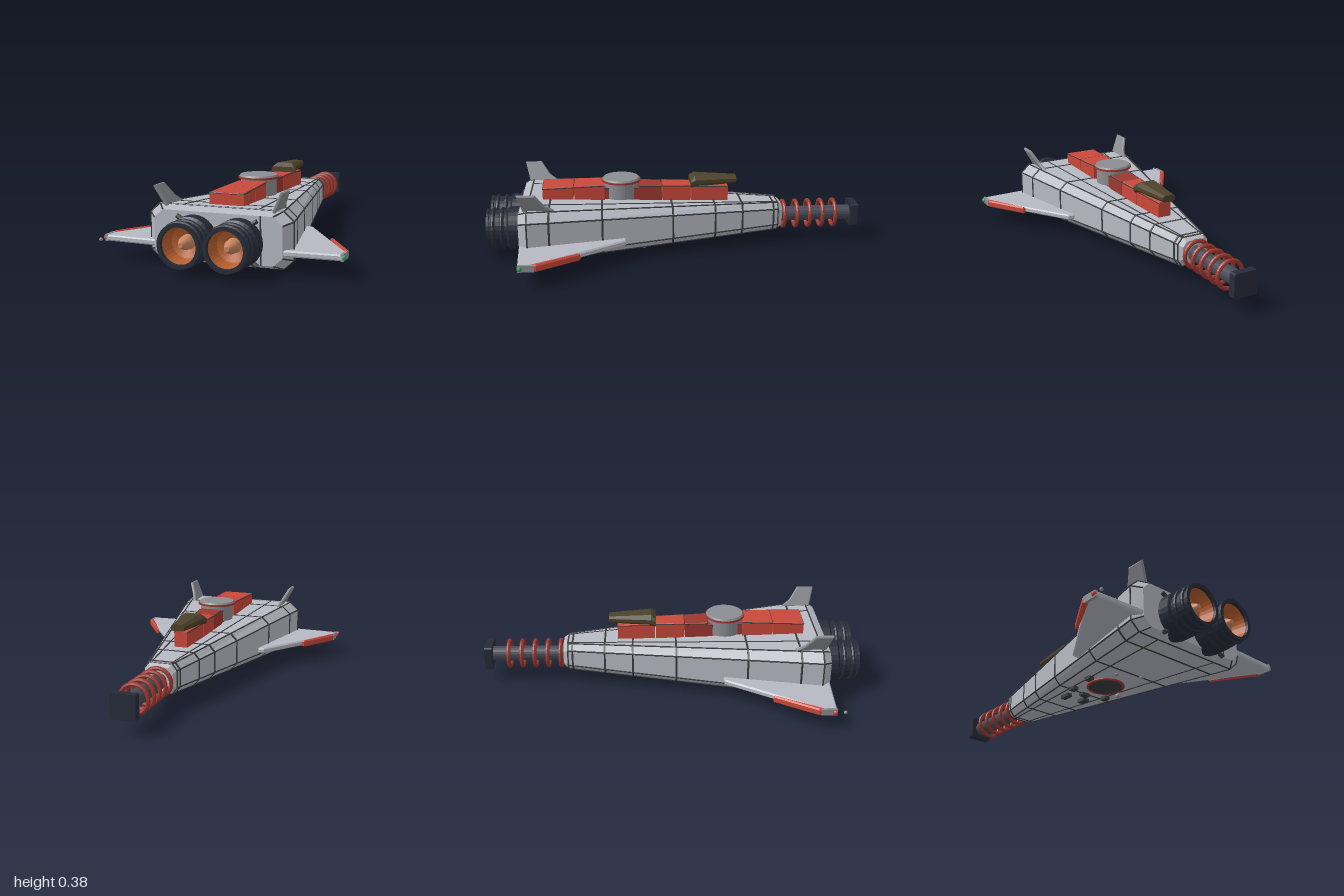
import * as THREE from 'three';

const mat = (color) => new THREE.MeshStandardMaterial({ color, flatShading: true, side: THREE.DoubleSide });
const M = {
  hull: mat(0xb6b9c2), grey: mat(0x8b8d92), seam: mat(0x3a3b3d), red: mat(0xc9483a), darkRed: mat(0x9c382f),
  navy: mat(0x262b38), steel: mat(0x454a56), orange: mat(0xb8602e), plug: mat(0xc98560),
  canopy: mat(0x4c422a), green: mat(0x2f9a50), light: mat(0xcc4444),
};
const HY = 0.14; // axis height of engines and nose probe

export function createModel() {
  const root = new THREE.Group();

  function add(name, geo, material, x = 0, y = 0, z = 0, parent = root) {
    const m = new THREE.Mesh(geo, material);
    m.name = name;
    m.position.set(x, y, z);
    parent.add(m);
    return m;
  }
  function group(name) {
    const g = new THREE.Group();
    g.name = name;
    root.add(g);
    return g;
  }
  // Skin over cross-sections ordered from back (+z) to nose (-z)
  function loft(sections) {
    const pos = [];
    const n = sections[0].length;
    const tri = (a, b, c) => pos.push(...a, ...b, ...c);
    for (let k = 0; k < sections.length - 1; k++) {
      const A = sections[k], B = sections[k + 1];
      for (let i = 0; i < n; i++) {
        const j = (i + 1) % n;
        tri(A[i], B[i], B[j]);
        tri(A[i], B[j], A[j]);
      }
    }
    const F = sections[0], L = sections[sections.length - 1];
    for (let i = 1; i < n - 1; i++) {
      tri(F[0], F[i], F[i + 1]);
      tri(L[0], L[i + 1], L[i]);
    }
    const g = new THREE.BufferGeometry();
    g.setAttribute('position', new THREE.Float32BufferAttribute(pos, 3));
    g.computeVertexNormals();
    return g;
  }
  // Chamfered rectangle; cx and cy cut its corners
  const oct = (w, y0, y1, cx, cy, z) => [
    [w, y0 + cy, z], [w, y1 - cy, z], [w - cx, y1, z], [cx - w, y1, z],
    [-w, y1 - cy, z], [-w, y0 + cy, z], [cx - w, y0, z], [w - cx, y0, z]];
  // Thin dark strip between two points
  function strip(a, b, parent, r = 0.004) {
    const p = new THREE.Vector3(...a), q = new THREE.Vector3(...b);
    const m = add('panelLine', new THREE.CylinderGeometry(r, r, p.distanceTo(q), 6), M.seam, 0, 0, 0, parent);
    m.position.copy(p).lerp(q, 0.5);
    m.quaternion.setFromUnitVectors(new THREE.Vector3(0, 1, 0), q.sub(p).normalize());
  }

  // Hull: tapering octagonal body, bevelled at both ends
  const mix = (a, b, t) => a + (b - a) * t;
  const hullAt = (z, grow = 0) => {
    const t = (0.78 - z) / 1.33;
    return oct(mix(0.36, 0.085, t) + grow, mix(0.02, 0.075, t) - grow, mix(0.288, 0.225, t) + grow,
      mix(0.05, 0.025, t), mix(0.045, 0.032, t), z);
  };
  const tail = oct(0.32, 0.04, 0.268, 0.045, 0.04, 0.825);
  const back = hullAt(0.78), front = hullAt(-0.55);
  add('hull', loft([tail, back, front, oct(0.07, 0.09, 0.21, 0.022, 0.028, -0.575)]), M.hull);

  // Panel seams around and along the hull
  const seams = group('hullSeams');
  for (const z of [0.67, 0.4, 0.03, -0.2, -0.35, -0.525])
    add('ringSeam', loft([hullAt(z + 0.005, 0.002), hullAt(z - 0.005, 0.002)]), M.seam, 0, 0, 0, seams);
  for (let i = 0; i < 8; i++) {
    const j = (i + 1) % 8;
    strip(back[i], front[i], seams);
    strip(back[i], back[j], seams);
    strip(tail[i], back[i], seams);
    strip(front[i], front[j], seams);
  }
  for (const s of [-1, 1]) {
    strip([s * 0.19, 0.288, 0.78], [s * 0.05, 0.225, -0.55], seams);
    strip([s * 0.19, 0.02, 0.78], [s * 0.04, 0.075, -0.55], seams);
  }
  strip([0.215, 0.04, 0.825], [0.215, 0.268, 0.825], seams);

  // Raised spine along the top: [back z, front z, half widths, top heights]
  const spine = group('spine');
  const blocks = [
    [0.71, 0.55, 0.088, 0.082, 0.343, 0.347, M.red], [0.545, 0.385, 0.082, 0.075, 0.347, 0.35, M.red],
    [0.385, 0.2, 0.06, 0.06, 0.33, 0.33, M.darkRed], [0.2, 0.08, 0.064, 0.058, 0.34, 0.335, M.darkRed],
    [0.075, -0.075, 0.058, 0.052, 0.337, 0.332, M.red], [-0.08, -0.28, 0.05, 0.035, 0.328, 0.318, M.red]];
  for (const [z0, z1, w0, w1, t0, t1, m] of blocks) {
    add('spineBlock', loft([oct(w0, 0.22, t0, 0.006, 0.006, z0), oct(w1, 0.22, t1, 0.006, 0.006, z1)]), m, 0, 0, 0, spine);
    for (const s of [-1, 1]) strip([s * w0, t0 - 0.004, z0], [s * w1, t1 - 0.004, z1], spine, 0.003);
    strip([-w0, t0 - 0.003, z0], [w0, t0 - 0.003, z0], spine, 0.003);
  }

  // Round turret on the spine
  const turret = group('turret');
  add('turretBase', new THREE.CylinderGeometry(0.09, 0.09, 0.09, 32), M.grey, 0, 0.315, 0.295, turret);
  add('turretRim', new THREE.CylinderGeometry(0.104, 0.104, 0.01, 32), M.darkRed, 0, 0.36, 0.295, turret);
  add('turretLid', new THREE.CylinderGeometry(0.094, 0.1, 0.01, 32), M.grey, 0, 0.369, 0.295, turret);

  // Cockpit canopy
  add('canopy', loft([oct(0.07, 0.32, 0.36, 0.01, 0.01, -0.075), oct(0.065, 0.32, 0.38, 0.025, 0.02, -0.1),
    oct(0.036, 0.332, 0.367, 0.01, 0.01, -0.325)]), M.canopy);

  // Nose probe with coil rings and square tip
  const probe = group('noseProbe');
  add('probeShaft', new THREE.CylinderGeometry(0.04, 0.04, 0.42, 20).rotateX(Math.PI / 2), M.steel, 0, HY, -0.765, probe);
  for (let i = 0; i < 5; i++)
    add('coilRing', new THREE.TorusGeometry(0.07, 0.011, 8, 28), M.darkRed, 0, HY, -0.592 - i * 0.07, probe);
  add('probeTip', loft([oct(0.064, 0.078, 0.202, 0.006, 0.006, -0.96), oct(0.064, 0.078, 0.202, 0.006, 0.006, -1)]), M.navy, 0, 0, 0, probe);

  // Twin engines
  const lathe = (pts) => new THREE.LatheGeometry(pts.map((p) => new THREE.Vector2(...p)), 28).rotateX(Math.PI / 2);
  for (const s of [-1, 1]) {
    const e = group(s > 0 ? 'leftEngine' : 'rightEngine');
    e.position.set(s * 0.113, HY, 0);
    add('engineCasing', lathe([[0, 0.79], [0.114, 0.79], [0.114, 0.885], [0.1, 0.895], [0.1, 0.985],
      [0.106, 0.988], [0.106, 1], [0.088, 1], [0.084, 0.95]]), M.navy, 0, 0, 0, e);
    for (const z of [0.92, 0.965])
      add('engineRing', new THREE.TorusGeometry(0.102, 0.01, 8, 28), M.navy, 0, 0, z, e);
    add('nozzle', lathe([[0.086, 0.985], [0.075, 0.91], [0.03, 0.89]]), M.orange, 0, 0, 0, e);
    add('nozzleCone', lathe([[0.036, 0.89], [0.032, 0.93], [0.012, 0.975], [0, 0.975]]), M.plug, 0, 0, 0, e);
    // Struts bracing the engine against the tail plate
    for (const t of [-1, 1])
      strip([s * 0.2, HY + t * 0.105, 0.83], [s * 0.13, HY + t * 0.06, 0.83], root, 0.012);
  }

  // Wings, wing edges, tip lights and tail fins
  const slab = (pts, depth, bevel) => new THREE.ExtrudeGeometry(new THREE.Shape(pts.map((p) => new THREE.Vector2(...p))),
    { depth: depth - 2 * bevel, bevelEnabled: true, bevelSize: bevel, bevelThickness: bevel, bevelOffset: -bevel, bevelSegments: 1 })
    .translate(0, 0, bevel - depth / 2);
  for (const s of [-1, 1]) {
    const side = s > 0 ? 'left' : 'right';
    const flat = (pts, d) => slab(pts.map(([x, z]) => [s * x, z]), d, 0.007).rotateX(Math.PI / 2);
    add(side + 'Wing', flat([[0.2, 0.27], [0.29, 0.28], [0.59, 0.74], [0.6, 0.81], [0.3, 0.825], [0.2, 0.8]], 0.03), M.hull, 0, 0.103, 0);
    add(side + 'WingEdge', flat([[0.452, 0.515], [0.467, 0.512], [0.598, 0.72], [0.596, 0.745], [0.58, 0.745]], 0.038), M.red, 0, 0.103, 0);
    add(side + 'WingTip', new THREE.BoxGeometry(0.014, 0.034, 0.08), M.grey, s * 0.592, 0.103, 0.77);
    add(side + 'TipLight', new THREE.SphereGeometry(0.013, 12, 8), s > 0 ? M.green : M.light, s * 0.598, 0.103, 0.8);
    const fin = slab([[0.64, 0], [0.8, 0], [0.825, 0.112], [0.735, 0.112], [0.69, 0.04]], 0.018, 0.005)
      .rotateY(-Math.PI / 2).rotateZ(-s * 0.47);
    add(side + 'TailFin', fin, M.grey, s * 0.267, 0.28, 0);
  }
  add('tailBead', new THREE.SphereGeometry(0.009, 10, 8), M.grey, -0.598, 0.103, 0.85);

  // Belly hatch and small underside fittings
  const belly = group('belly');
  add('hatchPlate', new THREE.CylinderGeometry(0.09, 0.09, 0.02, 28), M.seam, 0, 0.04, 0.2, belly);
  add('hatchRing', new THREE.TorusGeometry(0.093, 0.007, 8, 28).rotateX(Math.PI / 2), M.darkRed, 0, 0.034, 0.2, belly);
  for (const [x, y, z, w, d] of [[-0.06, 0.047, -0.05, 0.03, 0.06], [0.05, 0.047, -0.04, 0.04, 0.05],
    [0, 0.046, 0.03, 0.05, 0.03], [-0.1, 0.043, 0.06, 0.03, 0.04], [0.11, 0.042, 0.07, 0.03, 0.04], [-0.13, 0.037, 0.22, 0.03, 0.04]])
    add('bellyBox', new THREE.BoxGeometry(w, 0.022, d), M.seam, x, y, z, belly);
  for (const [x, y, z, r] of [[0.105, 0.015, 0.18, 0.015], [-0.06, 0.034, 0.35, 0.011], [0.06, 0.032, 0.41, 0.011]])
    add('bellySensor', new THREE.SphereGeometry(r, 12, 8), M.grey, x, y, z, belly);
  add('sensorStem', new THREE.CylinderGeometry(0.008, 0.008, 0.03, 10), M.grey, 0.105, 0.03, 0.18, belly);

  return root;
}
